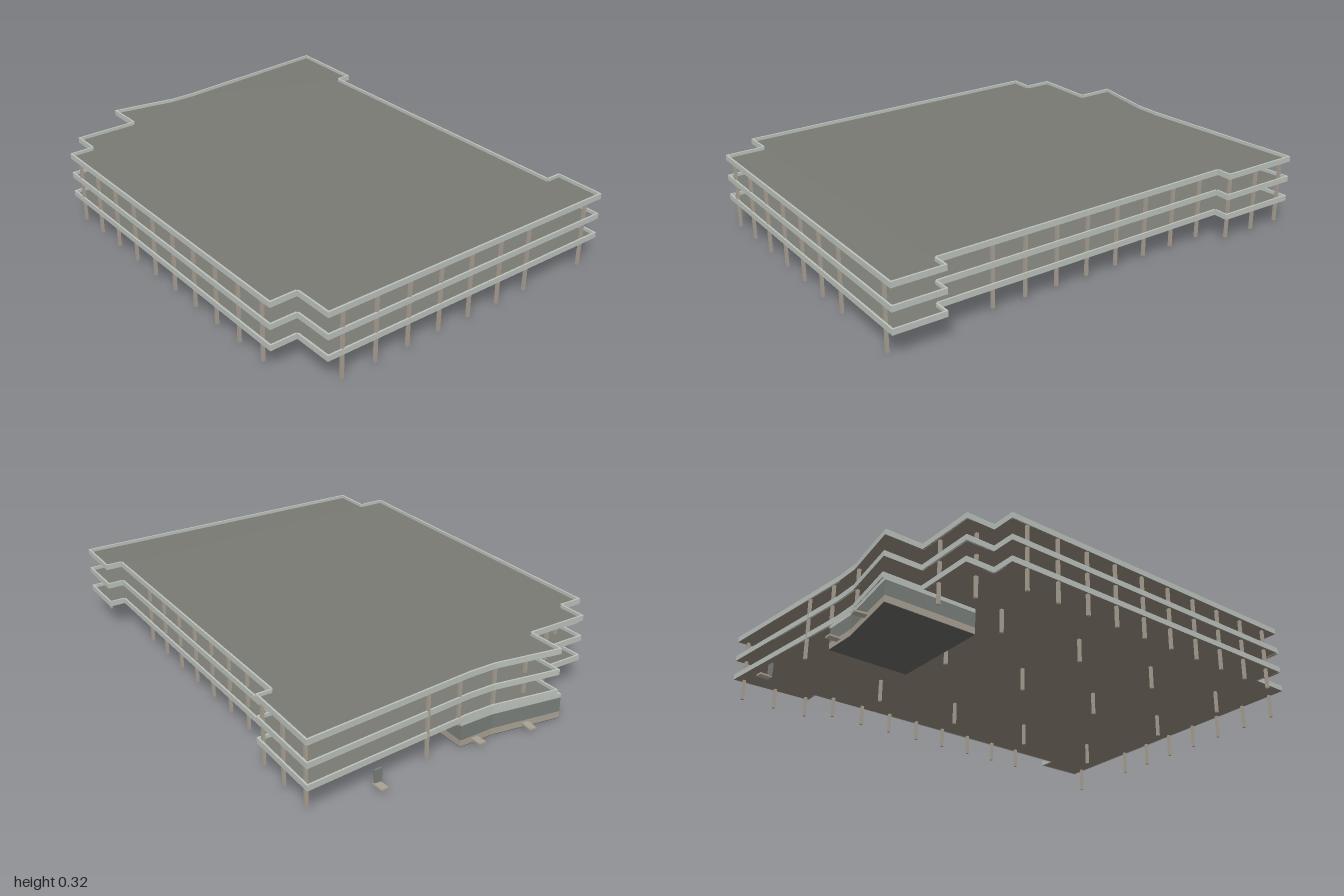
import * as THREE from 'three';

const mat = (name, color) => {
  const m = new THREE.MeshStandardMaterial({ color });
  m.name = name;
  return m;
};

export function createModel() {
  const root = new THREE.Group();
  root.name = 'parkingDeck';
  const asphalt = mat('asphalt', 0x777872);
  const soffit = mat('soffit', 0x857c70);
  const concrete = mat('paleConcrete', 0xbac0ba);
  const tan = mat('tanConcrete', 0xa89f92);
  const glass = mat('greyGlazing', 0x787d78);
  const dark = mat('darkBase', 0x5a5a58);

  // Deck plan as [x, z], running along the back edge first
  const plan = [
    [-0.97, -0.785], [-0.61, -0.775], [-0.61, -0.71], [0.775, -0.69],
    [0.775, -0.76], [1.0, -0.755], [0.975, 0.655], [0.803, 0.655],
    [0.803, 0.775], [-0.665, 0.765], [-0.665, 0.66], [-0.79, 0.66],
    [-0.79, 0.38], [-0.957, 0.38], [-0.908, 0.09], [-0.908, -0.03],
  ];

  // Flat plate from a plan between two heights
  const plate = (name, pts, y0, y1, material, parent = root) => {
    const shape = new THREE.Shape(pts.map(([x, z]) => new THREE.Vector2(x, -z)));
    const geo = new THREE.ExtrudeGeometry(shape, { depth: y1 - y0, bevelEnabled: false });
    geo.rotateX(-Math.PI / 2);
    const mesh = new THREE.Mesh(geo, material);
    mesh.position.y = y0;
    mesh.name = name;
    parent.add(mesh);
  };

  const box = (name, w, h, d, x, y, z, material, parent = root) => {
    const mesh = new THREE.Mesh(new THREE.BoxGeometry(w, h, d), material);
    mesh.position.set(x, y, z);
    mesh.name = name;
    parent.add(mesh);
    return mesh;
  };

  // Three decks, each with a soffit, a floor and a low parapet
  const T = 0.008, H = 0.024;
  [0.11, 0.2, 0.292].forEach((y, level) => {
    const deck = new THREE.Group();
    deck.name = 'deck' + (level + 1);
    root.add(deck);
    plate('soffit', plan, y, y + 0.004, soffit, deck);
    plate('floor', plan, y + 0.004, y + 0.01, asphalt, deck);
    plan.forEach(([x0, z0], i) => {
      const [x1, z1] = plan[(i + 1) % plan.length];
      const dx = x1 - x0, dz = z1 - z0, len = Math.hypot(dx, dz);
      const inset = T / 2 - 0.001;
      const wall = box('parapet', len, H, T,
        (x0 + x1) / 2 - dz / len * inset, y + H / 2, (z0 + z1) / 2 + dx / len * inset,
        concrete, deck);
      wall.rotation.y = -Math.atan2(dz, dx);
    });
  });

  // Columns
  const columns = new THREE.Group();
  columns.name = 'columns';
  root.add(columns);
  const column = (x, z, foot = 0.02) =>
    box('column', 0.012, 0.296 - foot, 0.012, x, (0.296 + foot) / 2, z, tan, columns);
  for (let i = 0; i < 10; i++) column(-0.59 + i * 0.147, 0.757);
  for (let i = 0; i < 8; i++) column(-0.53 + i * 0.15, -0.685 + i * 0.002);
  for (let i = 0; i < 7; i++) column(0.968 + i * 0.002, 0.585 - i * 0.156, 0.005);
  column(0.982, -0.68, 0);
  for (const x of [-0.47, -0.07, 0.34, 0.75])
    for (const z of [0.46, 0.1, -0.385]) column(x, z, 0.01);
  for (const [x, z] of [[-0.93, -0.765], [-0.78, -0.765], [-0.63, -0.76],
    [-0.92, -0.235], [-0.7, 0.6], [-0.775, 0.475]]) column(x, z);
  for (const [x, z] of [[-0.903, -0.075], [-0.895, 0.1], [-0.88, 0.27]]) column(x, z, 0.1);

  // Enclosed ground-floor room following the bent side of the deck
  const room = new THREE.Group();
  room.name = 'groundRoom';
  root.add(room);
  const roomPlan = [[-0.91, -0.065], [-0.55, -0.065], [-0.55, 0.4], [-0.957, 0.4], [-0.908, 0.09]];
  plate('roomUnderside', roomPlan, 0, 0.002, dark, room);
  plate('roomBase', roomPlan, 0.002, 0.03, tan, room);
  plate('roomGlazing', roomPlan, 0.03, 0.093, glass, room);
  plate('roomFascia', roomPlan, 0.093, 0.111, concrete, room);

  // Entrance steps and the side door
  for (const [x, z, turn] of [[-0.973, -0.48, 0.06], [-0.932, 0.005, 0.03], [-0.96, 0.238, -0.14]])
    box('entranceStep', 0.053, 0.008, 0.032, x, 0.018, z, tan).rotation.y = turn;
  box('sideDoor', 0.008, 0.058, 0.032, -0.95, 0.049, -0.476, glass);
  return root;
}
